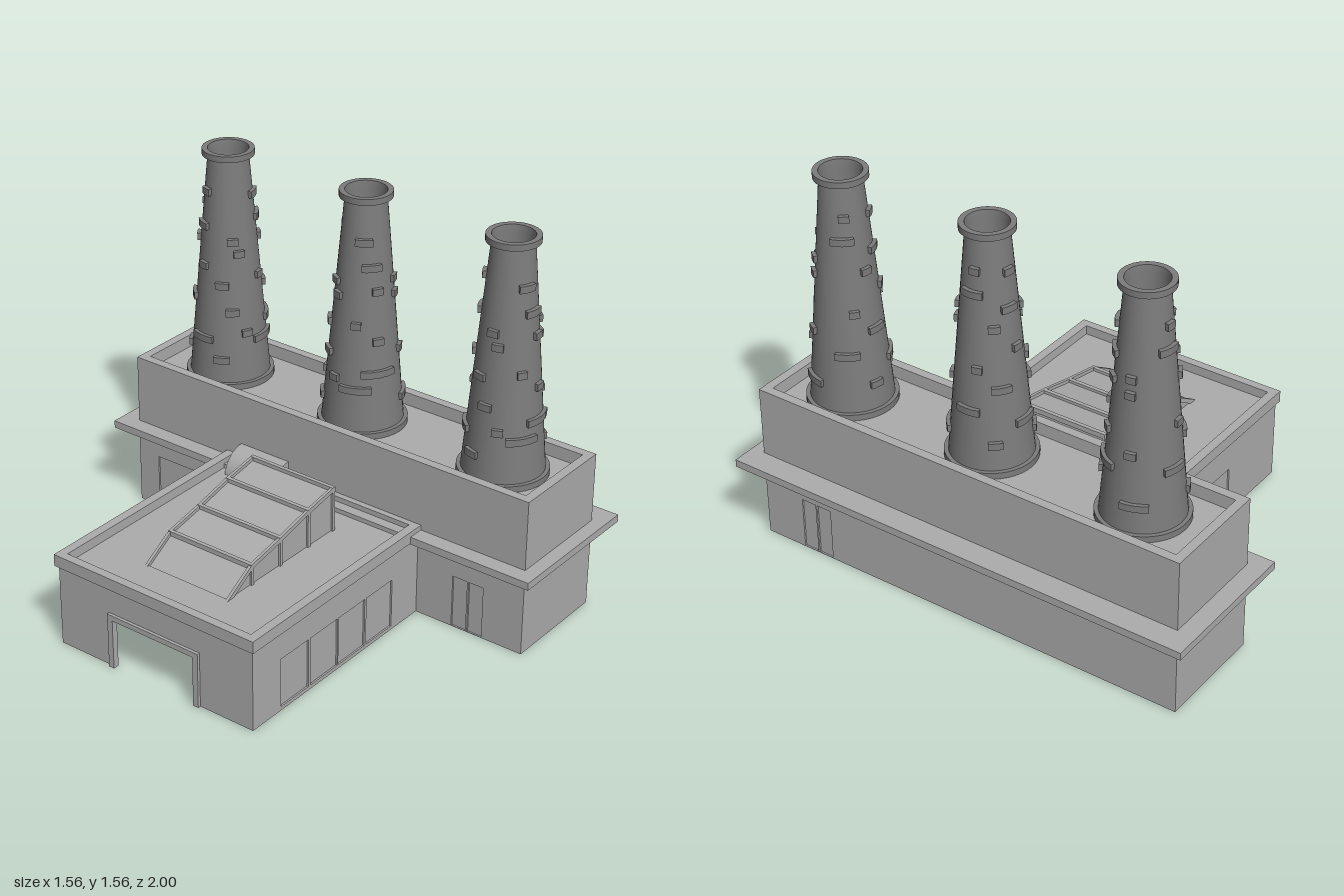
import * as THREE from 'three';
import { toCreasedNormals } from 'three/addons/utils/BufferGeometryUtils.js';

const stone = new THREE.MeshStandardMaterial({ color: 0xacacac, side: THREE.DoubleSide });
const sooty = new THREE.MeshStandardMaterial({ color: 0x7c7c7c, side: THREE.DoubleSide });
const WALL = 0.008;

function add(parent, name, geometry, x = 0, y = 0, z = 0, material = stone) {
  const mesh = new THREE.Mesh(geometry, material);
  mesh.name = name;
  mesh.position.set(x, y, z);
  parent.add(mesh);
  return mesh;
}

// Box given by its limits
function block(parent, name, x0, x1, y0, y1, z0, z1) {
  return add(parent, name, new THREE.BoxGeometry(x1 - x0, y1 - y0, z1 - z0),
    (x0 + x1) / 2, (y0 + y1) / 2, (z0 + z1) / 2);
}

function rect(Type, u0, u1, v0, v1) {
  const r = new Type();
  r.moveTo(u0, v0); r.lineTo(u1, v0); r.lineTo(u1, v1); r.lineTo(u0, v1); r.closePath();
  return r;
}

// Horizontal plate with a rectangular hole; limits are [x0, x1, z0, z1]
function plate(parent, name, outer, inner, y0, y1) {
  const flip = ([x0, x1, z0, z1]) => [x0, x1, -z1, -z0];
  const shape = rect(THREE.Shape, ...flip(outer));
  shape.holes.push(rect(THREE.Path, ...flip(inner)));
  const g = new THREE.ExtrudeGeometry(shape, { depth: y1 - y0, bevelEnabled: false });
  g.rotateX(-Math.PI / 2);
  return add(parent, name, g, 0, y0, 0);
}

// Wall whose outer face starts at (x, z); openings [u0, u1, v0, v1] hold sunken panels
function wall(parent, name, x, z, angle, length, height, openings = []) {
  const group = new THREE.Group();
  group.name = name;
  group.position.set(x, 0, z);
  group.rotation.y = angle;
  const shape = rect(THREE.Shape, 0, length, 0, height);
  for (const [u0, u1, v0, v1] of openings) {
    shape.holes.push(rect(THREE.Path, u0, u1, v0, v1));
    block(group, name + 'Panel', u0, u1, v0, v1, -WALL - 0.008, -WALL + 0.001);
  }
  add(group, name + 'Face', new THREE.ExtrudeGeometry(shape, { depth: WALL, bevelEnabled: false }), 0, 0, -WALL);
  parent.add(group);
}

// Bricks standing out of a chimney: [height, angle, width]
const BRICKS = [
  [1.385, -0.39, 0.06], [1.285, -0.1, 0.07], [1.19, 0.1, 0.04], [1.055, -0.57, 0.035],
  [0.99, 0.08, 0.04], [0.86, 0.07, 0.13], [0.795, -0.55, 0.12], [1.22, 0.93, 0.035],
  [1.16, 0.93, 0.035], [0.93, 1.02, 0.04], [0.73, 1.16, 0.1], [1.03, 2.45, 0.035],
  [1.41, 2.3, 0.035], [1.32, 2.2, 0.08], [0.86, 2.2, 0.09],
  [1.19, 2.95, 0.04], [0.73, 2.9, 0.05],
  [0.95, 3.1, 0.07], [1.4, 3.6, 0.04], [1.26, 3.5, 0.06], [1.1, 3.7, 0.04],
  [0.8, 3.8, 0.1], [1.03, 4.4, 0.05], [1.21, 4.75, 0.04],
  [1.16, 4.95, 0.04], [0.92, 4.7, 0.05], [0.83, 5.1, 0.04], [0.72, 4.4, 0.06],
];

function chimney(z, turn) {
  const group = new THREE.Group();
  group.name = 'chimney';
  group.position.set(0.449, 0, z);
  group.rotation.y = turn;
  const profile = [[0.175, 0.58], [0.175, 0.625], [0.159, 0.625], [0.08, 1.535], [0.102, 1.535],
    [0.102, 1.56], [0.08, 1.56], [0.077, 1.53], [0.15, 0.6]];
  const lathe = new THREE.LatheGeometry(profile.map(([r, y]) => new THREE.Vector2(r, y)), 40);
  add(group, 'chimneyShaft', toCreasedNormals(lathe, 0.6), 0, 0, 0, sooty);
  for (const [y, a, w] of BRICKS) {
    const r = 0.155 - (y - 0.655) * 0.085;
    // Curved brick that wraps the shaft
    const g = new THREE.BoxGeometry(w, 0.028, 0.03, 4, 1, 1);
    const p = g.attributes.position;
    for (let i = 0; i < p.count; i++) {
      const t = a + p.getX(i) / r;
      const d = r + p.getZ(i);
      p.setXYZ(i, d * Math.sin(t), y + p.getY(i), d * Math.cos(t));
    }
    add(group, 'chimneyBrick', toCreasedNormals(g, 0.6), 0, 0, 0, sooty);
  }
  return group;
}

function skylight() {
  const group = new THREE.Group();
  group.name = 'skylight';
  const line = [[-0.585, 0.345], [-0.443, 0.432], [-0.275, 0.466], [-0.108, 0.506], [0.042, 0.533]];
  const z0 = -0.19, z1 = 0.205, mid = (z0 + z1) / 2;
  const side = new THREE.Shape([...line, [0.042, 0.345]].map(([x, y]) => new THREE.Vector2(x, y - 0.006)));
  for (const z of [z0 + 0.008, z1 - 0.008]) add(group, 'skylightSideGlass', new THREE.ShapeGeometry(side), 0, 0, z);
  block(group, 'skylightEnd', 0.036, 0.044, 0.345, 0.53, z0, z1);

  for (let i = 0; i < 4; i++) {
    const [ax, ay] = line[i], [bx, by] = line[i + 1];
    const len = Math.hypot(bx - ax, by - ay);
    const bar = (name, thick, drop, z, width) => {
      const m = add(group, name, new THREE.BoxGeometry(len, thick, width), (ax + bx) / 2, (ay + by) / 2 - drop, z);
      m.rotation.z = Math.atan2(by - ay, bx - ax);
    };
    bar('skylightGlass', 0.004, 0.013, mid, z1 - z0 - 0.02);
    for (const z of [z0 + 0.006, z1 - 0.006]) bar('skylightRail', 0.018, 0.006, z, 0.012);
  }
  // Ribs across the glass and posts down both sides
  for (const [x, y] of line) {
    block(group, 'skylightRib', x - 0.008, x + 0.008, y - 0.018, y + 0.003, z0, z1);
    if (y > 0.35) for (const z of [z0, z1 - 0.012]) block(group, 'skylightPost', x - 0.007, x + 0.007, 0.345, y, z, z + 0.012);
  }
  return group;
}

export function createModel() {
  const model = new THREE.Group();
  model.name = 'powerStation';
  const H = Math.PI / 2;

  // Tall hall: open-bottomed lower walls, ledge, upper walls and sunken roof
  const hall = new THREE.Group();
  hall.name = 'tallHall';
  model.add(hall);
  const [hx0, hx1, hz0, hz1] = [0.225, 0.682, -0.925, 0.943];
  const lowerH = 0.335;
  wall(hall, 'hallFrontWall', hx0, hz1, 0, hx1 - hx0, lowerH);
  wall(hall, 'hallBackWall', hx1, hz0, 2 * H, hx1 - hx0, lowerH);
  wall(hall, 'hallLeftWall', hx1, hz1, H, hz1 - hz0, lowerH,
    [[0.178, 0.243, 0.002, 0.22], [0.25, 0.315, 0.002, 0.22]]);
  wall(hall, 'hallRightBackWall', hx0, hz0, -H, 0.475, lowerH, [[0.1, 0.36, 0.002, 0.23]]);
  wall(hall, 'hallRightFrontWall', hx0, 0.465, -H, hz1 - 0.465, lowerH,
    [[0.163, 0.228, 0.002, 0.22], [0.235, 0.3, 0.002, 0.22]]);
  block(hall, 'ledge', 0.158, 0.78, 0.335, 0.366, -1, 1);
  plate(hall, 'hallUpperWalls', [hx0, hx1, hz0, hz1], [0.262, 0.645, -0.888, 0.906], 0.366, 0.653);
  block(hall, 'hallRoof', 0.262, 0.645, 0.58, 0.6, -0.888, 0.906);

  // Three chimneys, same bricks turned differently
  [[0.683, 0], [0.033, -0.6], [-0.625, 0.77]].forEach(([z, turn]) => model.add(chimney(z, turn)));

  // Low wing
  const wing = new THREE.Group();
  wing.name = 'lowWing';
  model.add(wing);
  const [wx0, wx1, wz0, wz1] = [-0.768, 0.225, -0.45, 0.465];
  const windows = [-0.608, -0.434, -0.268, -0.097].map((x) => [x - wx0, x - wx0 + 0.16, 0.016, 0.22]);
  wall(wing, 'wingFrontWall', wx0, wz1, 0, wx1 - wx0, 0.34, windows);
  wall(wing, 'wingBackWall', wx1, wz0, 2 * H, wx1 - wx0, 0.34, [[0.505, 0.655, 0.002, 0.21]]);
  plate(wing, 'wingParapet', [-0.78, wx1, -0.462, 0.477], [-0.745, 0.2, -0.425, 0.44], 0.338, 0.387);
  plate(wing, 'wingRoof', [-0.75, 0.215, -0.43, 0.445], [-0.575, 0.035, -0.18, 0.195], 0.335, 0.348);

  // Side wall with an open gateway and its frame
  const gate0 = -0.195, gate1 = 0.21;
  wall(wing, 'wingGateWallBack', wx0, wz0, -H, gate0 - wz0, 0.34);
  wall(wing, 'wingGateWallFront', wx0, gate1, -H, wz1 - gate1, 0.34);
  block(wing, 'wingGateWallTop', wx0, wx0 + WALL, 0.21, 0.34, gate0, gate1);
  for (const z of [gate0, gate1]) block(wing, 'gatePost', -0.78, -0.755, 0, 0.23, z - 0.012, z + 0.012);
  block(wing, 'gateLintel', -0.78, -0.755, 0.208, 0.23, gate0 - 0.012, gate1 + 0.012);
  wing.add(skylight());

  // Rounded vent where wing and hall meet
  const vent = new THREE.CylinderGeometry(0.105, 0.105, 0.235, 20, 1, false, Math.PI, H);
  vent.rotateX(H);
  add(wing, 'roundedVent', vent, 0.225, 0.335, -0.272);

  return model;
}
